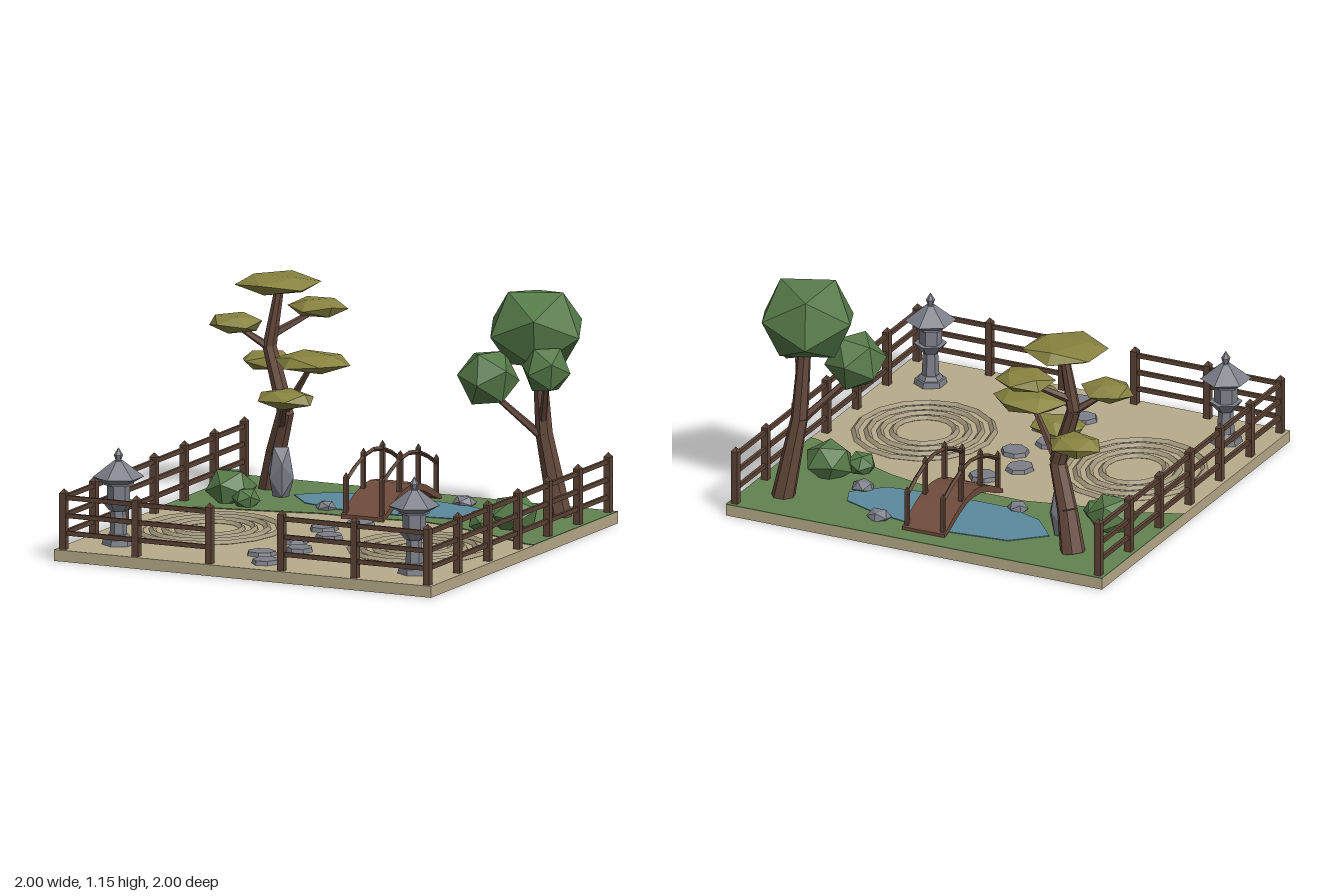
import * as THREE from 'three';

const mat = (name, color) => {
  const m = new THREE.MeshStandardMaterial({ color });
  m.name = name;
  return m;
};
const V = (x, y, z) => new THREE.Vector3(x, y, z);
const GROUND = 0.055;

export function createModel() {
  const sand = mat('sand', 0xb8ab8b), rake = mat('rakedSand', 0xa0947a);
  const grass = mat('grass', 0x628250), water = mat('water', 0x5b8a9c);
  const wood = mat('fenceWood', 0x5c4335), deckWood = mat('bridgeWood', 0x6e4b3c);
  const bark = mat('bark', 0x64493c), leaf = mat('leaf', 0x567a49);
  const needle = mat('pineNeedles', 0x87823f), stone = mat('stone', 0x7c7f88);

  const root = new THREE.Group();
  root.name = 'rockGarden';
  const group = (name, parent = root) => {
    const g = new THREE.Group();
    g.name = name;
    parent.add(g);
    return g;
  };
  const add = (parent, name, geo, material, x = 0, y = 0, z = 0) => {
    if (geo.index) geo = geo.toNonIndexed();
    geo.computeVertexNormals(); // faceted look
    const m = new THREE.Mesh(geo, material);
    m.name = name;
    m.position.set(x, y, z);
    parent.add(m);
    return m;
  };
  const box = (parent, name, w, h, d, material, x, y, z) =>
    add(parent, name, new THREE.BoxGeometry(w, h, d), material, x, y, z);

  // Tapered bar running from a to b
  const bar = (parent, name, a, b, r0, r1, material, sides = 6) => {
    const m = add(parent, name, new THREE.CylinderGeometry(r1, r0, a.distanceTo(b), sides), material);
    m.position.copy(a).lerp(b, 0.5);
    m.quaternion.setFromUnitVectors(V(0, 1, 0), b.clone().sub(a).normalize());
    return m;
  };
  // Faceted blob with half sizes
  const blob = (parent, name, material, x, y, z, rx, ry, rz, turn = 0) => {
    const geo = new THREE.IcosahedronGeometry(1, 0);
    geo.rotateX(0.2).rotateY(turn).scale(rx, ry, rz);
    return add(parent, name, geo, material, x, y, z);
  };
  // Thin flat plate from an [x, z] outline
  const plate = (name, pts, bottom, height, material) => {
    const shape = new THREE.Shape(pts.map(([x, z]) => new THREE.Vector2(x, -z)));
    const geo = new THREE.ExtrudeGeometry(shape, { depth: height, bevelEnabled: false });
    return add(root, name, geo.rotateX(-Math.PI / 2), material, 0, bottom, 0);
  };

  // Ground, lawn and pond
  box(root, 'sandBase', 2, GROUND, 2, sand, 0, GROUND / 2, 0);
  plate('lawn', [[-1, -1], [1, -1], [1, -0.1], [0.95, -0.11], [0.7, -0.23], [0.45, -0.33], [0.28, -0.37],
    [0, -0.33], [-0.25, -0.33], [-0.5, -0.27], [-0.8, -0.21], [-1, -0.13]], GROUND, 0.004, grass);
  plate('pond', [[-0.55, -0.66], [-0.4, -0.8], [-0.12, -0.83], [0.11, -0.82], [0.32, -0.78], [0.5, -0.71],
    [0.54, -0.61], [0.4, -0.48], [0.1, -0.44], [-0.22, -0.44], [-0.42, -0.51]], GROUND + 0.004, 0.004, water);

  // Raked sand rings
  for (const [x, z, stretch] of [[-0.55, 0.24, 1.12], [0.55, 0.21, 1.05]]) {
    const rings = group('rakedRings');
    for (const r of [0.15, 0.21, 0.27, 0.33]) {
      const geo = new THREE.TorusGeometry(r, 0.017, 4, 16);
      geo.rotateX(Math.PI / 2).scale(1, 0.9, stretch);
      add(rings, 'rakedRing', geo, rake, x, GROUND + 0.002, z);
    }
  }

  // Stepping stones
  const steps = group('steppingStones');
  [0.05, -0.06, 0.05, -0.055, 0.06, -0.06, 0.045].forEach((x, i) => {
    const s = add(steps, 'steppingStone', new THREE.CylinderGeometry(0.068, 0.075, 0.02, 7), stone,
      x, GROUND + 0.01, -0.16 + i * 0.167);
    s.rotation.y = i * 1.3;
    s.scale.z = 0.9;
  });

  // Fence: two sides and a front with a gateway
  const fence = group('fence');
  const post = (parent, x, y, z, h, w) => {
    box(parent, 'post', w, h, w, wood, x, y + h / 2, z);
    const cap = new THREE.ConeGeometry(w * 0.72, 0.022, 4);
    add(parent, 'postCap', cap.rotateY(Math.PI / 4), wood, x, y + h + 0.011, z);
  };
  const E = 0.965;
  for (const s of [-1, 1]) {
    for (let i = 0; i < 7; i++) post(fence, s * E, GROUND, -E + i * E / 3, 0.272, 0.034);
    for (const x of [0.58, 0.192]) post(fence, s * x, GROUND, E, 0.272, 0.034);
    for (const y of [0.133, 0.218, 0.305]) {
      box(fence, 'sideRail', 0.016, 0.022, 2 * E, wood, s * E, y, 0);
      box(fence, 'frontRail', E - 0.192, 0.022, 0.016, wood, s * (E + 0.192) / 2, y, E);
    }
  }

  // Arched bridge
  const bridge = group('bridge');
  const archY = t => 0.075 + 0.11 * Math.sin(Math.PI * t);
  const zAt = t => -0.9 + 0.62 * t;
  const N = 8, top = [], under = [];
  for (let i = 0; i <= N; i++) {
    top.push(new THREE.Vector2(zAt(i / N), archY(i / N)));
    under.unshift(new THREE.Vector2(zAt(i / N), Math.max(GROUND, archY(i / N) - 0.035)));
  }
  const deck = new THREE.ExtrudeGeometry(new THREE.Shape([...top, ...under]), { depth: 0.225, bevelEnabled: false });
  add(bridge, 'bridgeDeck', deck.rotateY(-Math.PI / 2), deckWood, 0.1125, 0, 0);
  const postT = [0.03, 0.34, 0.67, 0.97];
  for (const x of [-0.095, 0.095]) {
    postT.forEach(t => post(bridge, x, archY(t) - 0.02, zAt(t), 0.19, 0.02));
    for (let i = 0; i < 6; i++) {
      const a = postT[0] + 0.94 * i / 6, b = a + 0.94 / 6;
      bar(bridge, 'handRail', V(x, archY(a) + 0.15, zAt(a)), V(x, archY(b) + 0.15, zAt(b)), 0.011, 0.011, wood, 4);
    }
  }

  // Stone lanterns: [bottom radius, top radius, y0, y1]
  const tiers = {
    plinth: [0.08, 0.075, 0.055, 0.083], foot: [0.062, 0.048, 0.083, 0.105], column: [0.042, 0.036, 0.105, 0.22],
    platform: [0.045, 0.08, 0.22, 0.265], lampBox: [0.055, 0.055, 0.265, 0.36], lampCap: [0.075, 0.075, 0.345, 0.362],
    eave: [0.075, 0.123, 0.355, 0.382], roof: [0.123, 0.022, 0.382, 0.46],
    finial: [0.013, 0.022, 0.46, 0.488], finialTip: [0.022, 0.001, 0.488, 0.522],
  };
  for (const x of [-0.785, 0.785]) {
    const lantern = group('stoneLantern');
    for (const [name, [r0, r1, y0, y1]] of Object.entries(tiers))
      add(lantern, name, new THREE.CylinderGeometry(r1, r0, y1 - y0, 6), stone, x, (y0 + y1) / 2, 0.745);
  }

  // Layered pine with a winding trunk
  const pine = group('pineTree');
  const trunk = [[-0.73, 0.05, -0.77, 0.062], [-0.68, 0.25, -0.73, 0.05], [-0.605, 0.46, -0.68, 0.042],
    [-0.705, 0.76, -0.71, 0.034], [-0.655, 1.06, -0.72, 0.022]];
  for (let i = 0; i < trunk.length - 1; i++) {
    const [a, b] = [trunk[i], trunk[i + 1]];
    bar(pine, 'trunk', V(a[0], a[1], a[2]), V(b[0], b[1], b[2]), a[3], b[3], bark, 7);
  }
  // Each pad: centre, half sizes, and where its branch leaves the trunk
  const pads = [
    [-0.66, 1.07, -0.71, 0.21, 0.205, null],
    [-0.52, 0.94, -0.855, 0.15, 0.13, [-0.7, 0.81, -0.71]],
    [-0.855, 0.87, -0.65, 0.14, 0.12, [-0.7, 0.75, -0.71]],
    [-0.425, 0.727, -0.605, 0.195, 0.175, [-0.6, 0.47, -0.68]],
    [-0.79, 0.656, -0.865, 0.14, 0.12, [-0.64, 0.56, -0.69]],
    [-0.51, 0.56, -0.49, 0.155, 0.12, [-0.64, 0.37, -0.7]],
  ];
  pads.forEach(([x, y, z, rx, rz, from], i) => {
    blob(pine, 'needlePad', needle, x, y, z, rx, 0.05, rz, i * 0.9);
    if (from) bar(pine, 'branch', V(...from), V(x, y - 0.01, z), 0.022, 0.012, bark, 5);
  });

  // Round leafy tree
  const tree = group('leafyTree');
  const fork = V(0.735, 0.46, -0.745);
  bar(tree, 'trunk', V(0.805, 0.05, -0.78), fork, 0.058, 0.042, bark, 7);
  bar(tree, 'upperTrunk', fork, V(0.71, 0.9, -0.73), 0.042, 0.03, bark, 7);
  bar(tree, 'branch', V(0.74, 0.43, -0.745), V(0.52, 0.67, -0.6), 0.022, 0.014, bark, 5);
  bar(tree, 'branch', V(0.73, 0.5, -0.74), V(0.82, 0.76, -0.6), 0.022, 0.014, bark, 5);
  blob(tree, 'crown', leaf, 0.705, 0.97, -0.72, 0.25, 0.22, 0.245, 0.4);
  blob(tree, 'leftLeaves', leaf, 0.515, 0.737, -0.59, 0.152, 0.15, 0.145, 1.1);
  blob(tree, 'frontLeaves', leaf, 0.825, 0.805, -0.585, 0.122, 0.125, 0.122, 0.7);

  // Bushes
  const bushes = group('bushes');
  [[-0.765, -0.42, 0.125], [-0.645, -0.34, 0.07], [0.73, -0.44, 0.125], [0.605, -0.35, 0.075]].forEach(([x, z, r], i) =>
    blob(bushes, 'bush', leaf, x, GROUND + r * 0.5, z, r, r * 0.85, r, i * 0.8));

  // Rocks around the pond
  const rocks = group('rocks');
  blob(rocks, 'standingRock', stone, -0.595, 0.17, -0.61, 0.07, 0.155, 0.06, 0.5);
  [[0.275, -0.82, 0.062], [-0.27, -0.435, 0.054], [0.5, -0.54, 0.06]].forEach(([x, z, r], i) =>
    blob(rocks, 'pondRock', stone, x, GROUND + 0.012, z, r, r * 0.65, r * 0.9, i * 0.7));

  return root;
}
